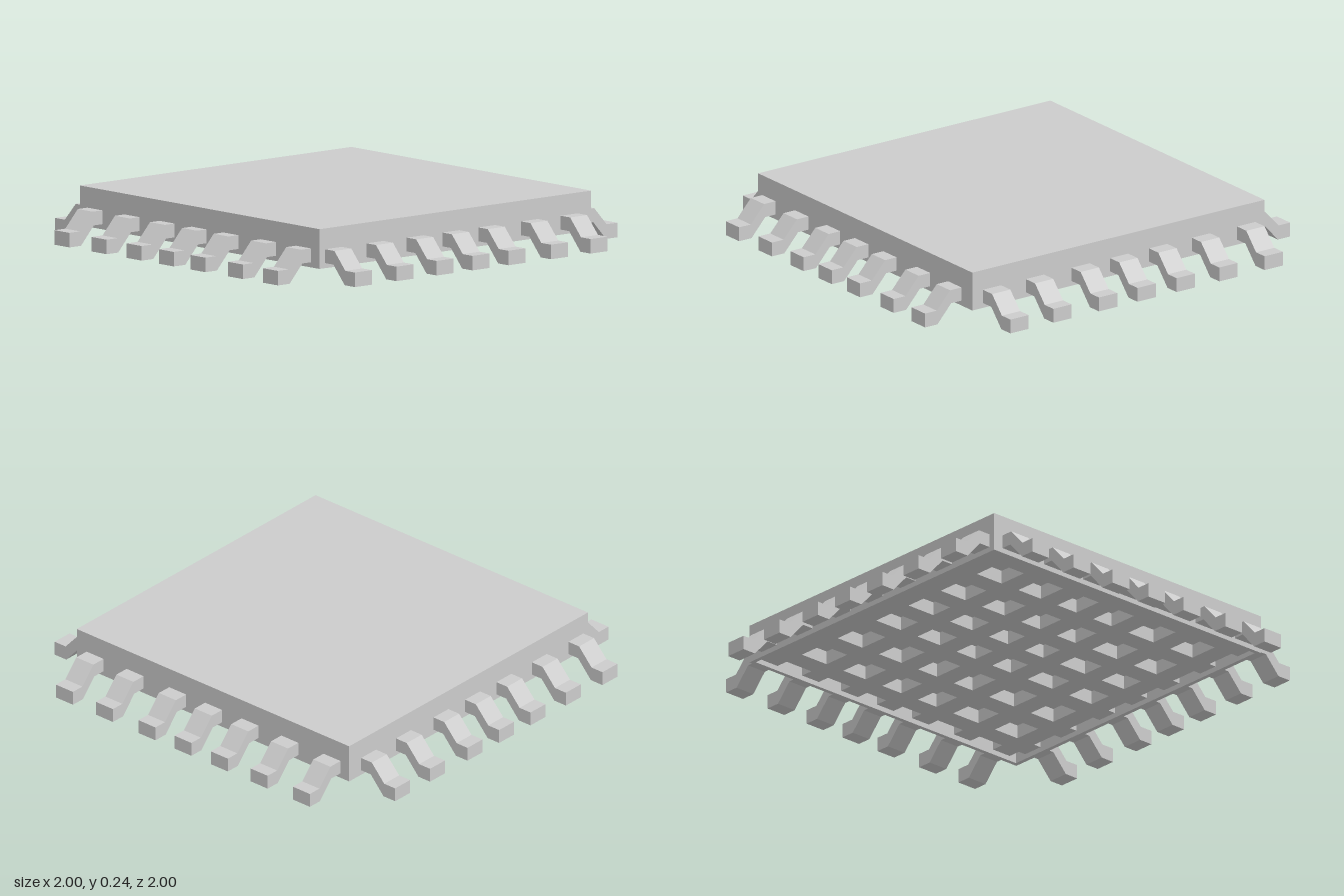
import * as THREE from 'three';

const material = new THREE.MeshStandardMaterial({ color: 0xcccccc, flatShading: true });
const LEAD_WIDTH = 0.1;

// Lead strip: runs straight under the cover and bends down to a foot at both ends
function leadGeometry() {
  const top = [[0.863, 0.145], [0.936, 0.065], [1, 0.065]];
  const bottom = [[1, 0], [0.932, 0], [0.857, 0.083]];
  const half = [...top, ...bottom];
  const mirrored = half.map(([x, y]) => [-x, y]).reverse();
  const outline = [...half, ...mirrored].map(([x, y]) => new THREE.Vector2(x, y));
  const geometry = new THREE.ExtrudeGeometry(new THREE.Shape(outline), {
    depth: LEAD_WIDTH, bevelEnabled: false,
  });
  return geometry.translate(0, 0, -LEAD_WIDTH / 2);
}

export function createModel() {
  const model = new THREE.Group();
  model.name = 'flatChip';

  const add = (parent, name, geometry, x = 0, y = 0, z = 0) => {
    const mesh = new THREE.Mesh(geometry, material);
    mesh.name = name;
    mesh.position.set(x, y, z);
    parent.add(mesh);
    return mesh;
  };

  // Square cover, hollow and open underneath
  const cover = new THREE.Group();
  cover.name = 'cover';
  cover.position.x = -0.006;
  model.add(cover);
  const size = 1.6, wall = 0.02, base = 0.06, height = 0.178;
  const wallHeight = height - wall;
  add(cover, 'coverTop', new THREE.BoxGeometry(size, wall, size), 0, base + height - wall / 2, 0);
  const rim = new THREE.Shape();
  const square = (path, h) => path.moveTo(-h, -h).lineTo(h, -h).lineTo(h, h).lineTo(-h, h).closePath();
  square(rim, size / 2);
  const opening = new THREE.Path();
  square(opening, size / 2 - wall);
  rim.holes.push(opening);
  const walls = new THREE.ExtrudeGeometry(rim, { depth: wallHeight, bevelEnabled: false });
  walls.rotateX(-Math.PI / 2);
  add(cover, 'coverWalls', walls, 0, base, 0);

  // Two sets of leads crossing in a lattice beneath the cover
  const lead = leadGeometry();
  const sideways = [-0.7, -0.452, -0.218, -0.004, 0.207, 0.457, 0.692];
  const lengthways = [-0.725, -0.48, -0.243, -0.033, 0.179, 0.43, 0.664];
  sideways.forEach((z, i) => add(model, `sideLead${i + 1}`, lead, 0, 0, z));
  lengthways.forEach((x, i) => {
    add(model, `frontBackLead${i + 1}`, lead, x, 0, 0).rotation.y = Math.PI / 2;
  });

  return model;
}
